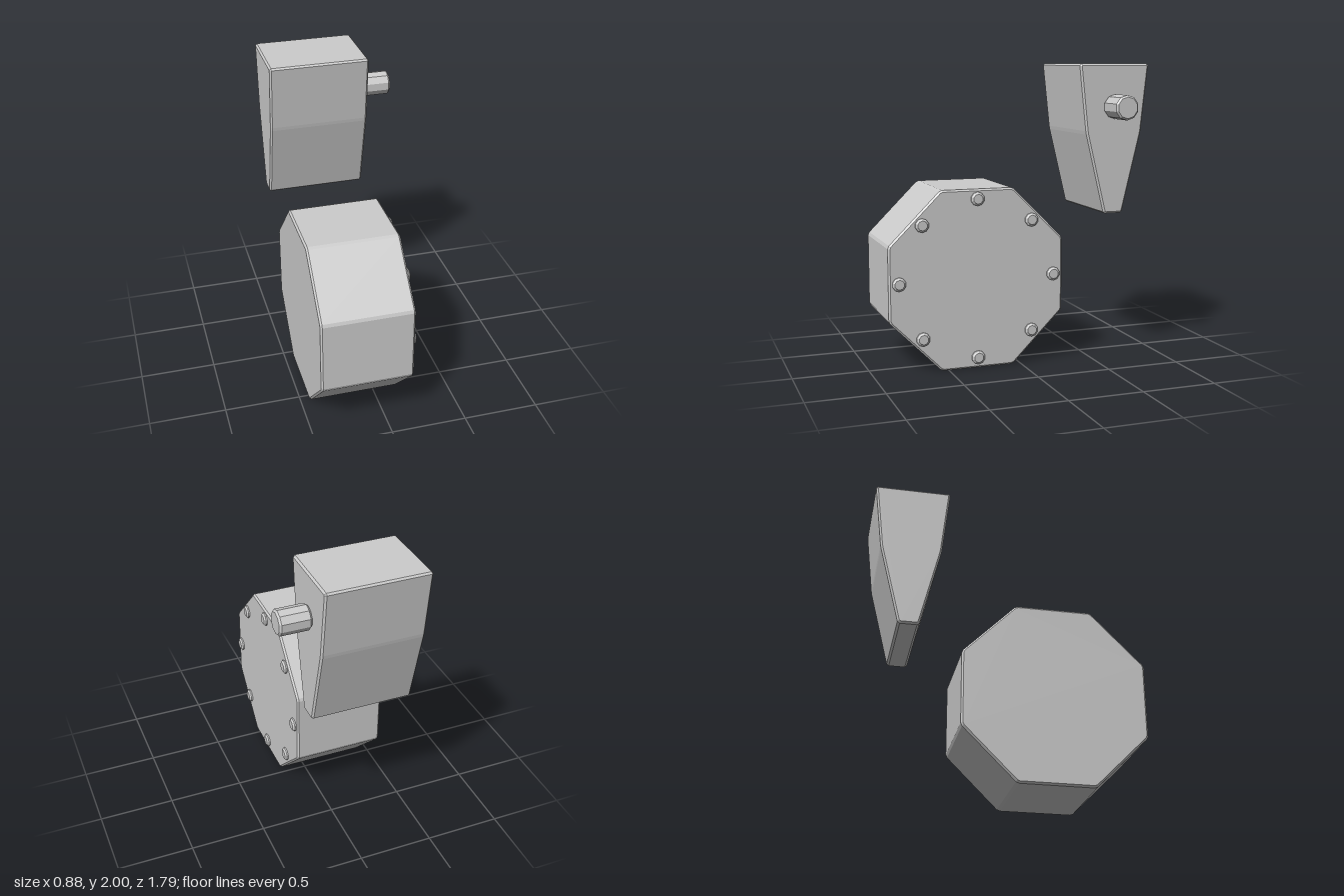
import * as THREE from 'three';

const BEVEL = 0.012;
const material = new THREE.MeshStandardMaterial({ color: 0xcccccc, flatShading: true });

// Side profile given as [z, y] corners, each corner cut by a small chamfer.
function chamferedShape(corners, cut) {
  const pts = corners.map(([z, y]) => new THREE.Vector2(-z, y));
  if (THREE.ShapeUtils.area(pts) < 0) pts.reverse();
  const n = pts.length;
  const out = [];
  pts.forEach((p, i) => {
    for (const q of [pts[(i + n - 1) % n], pts[(i + 1) % n]]) {
      out.push(p.clone().add(q.clone().sub(p).setLength(cut)));
    }
  });
  return new THREE.Shape(out);
}

// Bevelled slab with the profile swept from x0 to x1.
function slab(name, corners, x0, x1) {
  const geometry = new THREE.ExtrudeGeometry(chamferedShape(corners, BEVEL), {
    depth: x1 - x0 - 2 * BEVEL,
    bevelEnabled: true,
    bevelThickness: BEVEL,
    bevelSize: BEVEL,
    bevelOffset: -BEVEL,
    bevelSegments: 1,
  });
  geometry.rotateY(Math.PI / 2);
  geometry.translate(x0 + BEVEL, 0, 0);
  const mesh = new THREE.Mesh(geometry, material);
  mesh.name = name;
  return mesh;
}

// Ten-sided turned part along +x, profile given as [radius, x].
function turned(name, profile, y, z) {
  const points = profile.map(([r, x]) => new THREE.Vector2(r, x));
  const geometry = new THREE.LatheGeometry(points, 10, Math.PI / 2);
  geometry.rotateZ(-Math.PI / 2);
  const mesh = new THREE.Mesh(geometry, material);
  mesh.name = name;
  mesh.position.set(0, y, z);
  return mesh;
}

export function createModel() {
  const model = new THREE.Group();

  // Octagonal drum
  const cy = 0.602, cz = 0.3;
  const radius = 0.598 / Math.cos(Math.PI / 8);
  const octagon = [];
  for (let i = 0; i < 8; i++) {
    const a = (i + 0.5) * Math.PI / 4;
    octagon.push([cz + radius * Math.cos(a), cy + radius * Math.sin(a)]);
  }
  // Lift by the rounding difference so the drum rests on the ground
  const drum = slab('drum', octagon, -0.44, 0.17);
  drum.position.y = 0.598 - cy;
  model.add(drum);

  // Ring of bolts on the drum's left face
  const bolts = new THREE.Group();
  bolts.name = 'bolts';
  const boltProfile = [[0, 0.16], [0.046, 0.16], [0.046, 0.18], [0.032, 0.191], [0, 0.191]];
  for (let i = 0; i < 8; i++) {
    const a = i * Math.PI / 4;
    bolts.add(turned('bolt', boltProfile, cy + 0.53 * Math.sin(a), cz + 0.53 * Math.cos(a)));
  }
  model.add(bolts);

  // Tapered block hanging behind the drum
  const half = [[0.25, 2], [0.2, 1.545], [0.067, 1]];
  const wz = -0.64;
  const wedge = [
    ...half.map(([w, y]) => [wz + w, y]),
    ...half.slice().reverse().map(([w, y]) => [wz - w, y]),
  ];
  model.add(slab('taperedBlock', wedge, -0.44, 0.235));

  // Stub shaft on the block
  const r = 0.082;
  model.add(turned('stubShaft', [
    [0, 0.235], [r - BEVEL, 0.235], [r, 0.235 + BEVEL],
    [r, 0.44 - BEVEL], [r - BEVEL, 0.44], [0, 0.44],
  ], 1.717, wz));

  return model;
}
